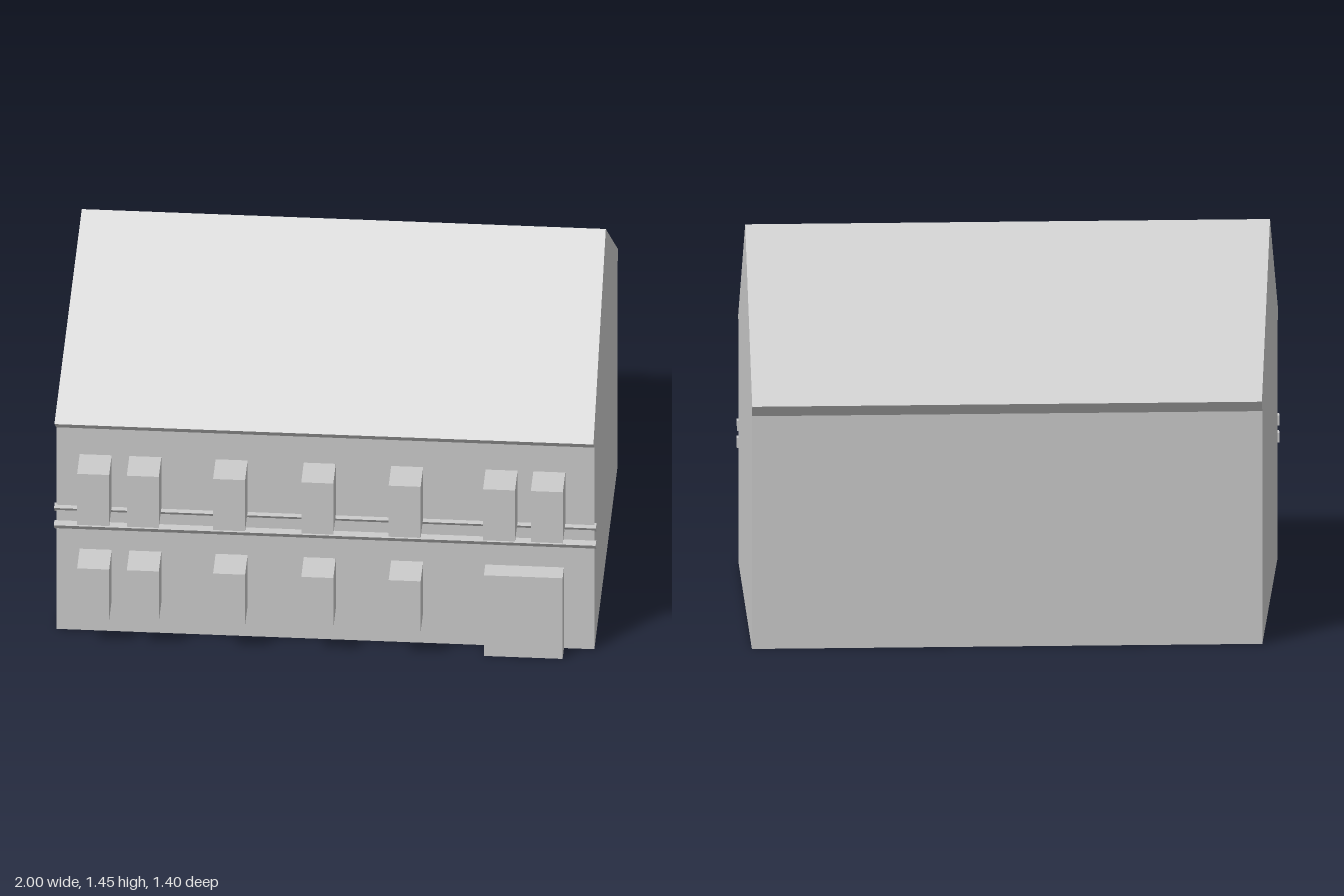
import * as THREE from 'three';

const stone = new THREE.MeshStandardMaterial({ color: 0xcccccc });
stone.name = 'plain grey';

// Extrude a [z, y] profile along x from x0 to x1
function alongX(profile, x0, x1) {
  const shape = new THREE.Shape(profile.map(([z, y]) => new THREE.Vector2(-z, y)));
  const geo = new THREE.ExtrudeGeometry(shape, { depth: x1 - x0, bevelEnabled: false });
  geo.rotateY(Math.PI / 2);
  geo.translate(x0, 0, 0);
  return geo;
}

export function createModel() {
  const house = new THREE.Group();
  house.name = 'house';

  function add(name, geo) {
    const mesh = new THREE.Mesh(geo, stone);
    mesh.name = name;
    house.add(mesh);
  }

  // Box given by its extents
  function block(name, x0, x1, y0, y1, z0, z1) {
    const geo = new THREE.BoxGeometry(x1 - x0, y1 - y0, z1 - z0);
    geo.translate((x0 + x1) / 2, (y0 + y1) / 2, (z0 + z1) / 2);
    add(name, geo);
  }

  // Walls, eaves and gabled roof; the -x gable runs at a slant
  const body = alongX([
    [0.567, 0], [0.567, 0.885], [0.615, 0.93], [-0.04, 1.45],
    [-0.7, 0.93], [-0.665, 0.885], [-0.665, 0],
  ], -1, 0.99);
  const p = body.attributes.position;
  for (let i = 0; i < p.count; i++) {
    if (p.getX(i) < 0) p.setX(i, -0.997 + (0.615 - p.getZ(i)) * 0.085);
  }
  body.computeVertexNormals();
  add('wallsAndRoof', body);

  // Wedge-shaped ledges across the front
  add('upperLedge', alongX([[0.59, 0.545], [0.553, 0.545], [0.553, 0.508]], -1, 0.997));
  add('lowerLedge', alongX([[0.602, 0.477], [0.565, 0.477], [0.565, 0.44]], -1, 0.997));

  // Projecting window blocks on both floors
  const columns = [-0.848, -0.665, -0.347, -0.022, 0.3];
  const half = 0.059;
  for (const x of columns) block('lowerWindow', x - half, x + half, 0.134, 0.356, 0.55, 0.7);
  for (const x of [...columns, 0.648, 0.824]) {
    block('upperWindow', x - half, x + half, 0.547, 0.771, 0.55, 0.7);
  }

  // Wide doorway
  block('door', 0.588, 0.878, 0, 0.354, 0.53, 0.64);

  return house;
}
